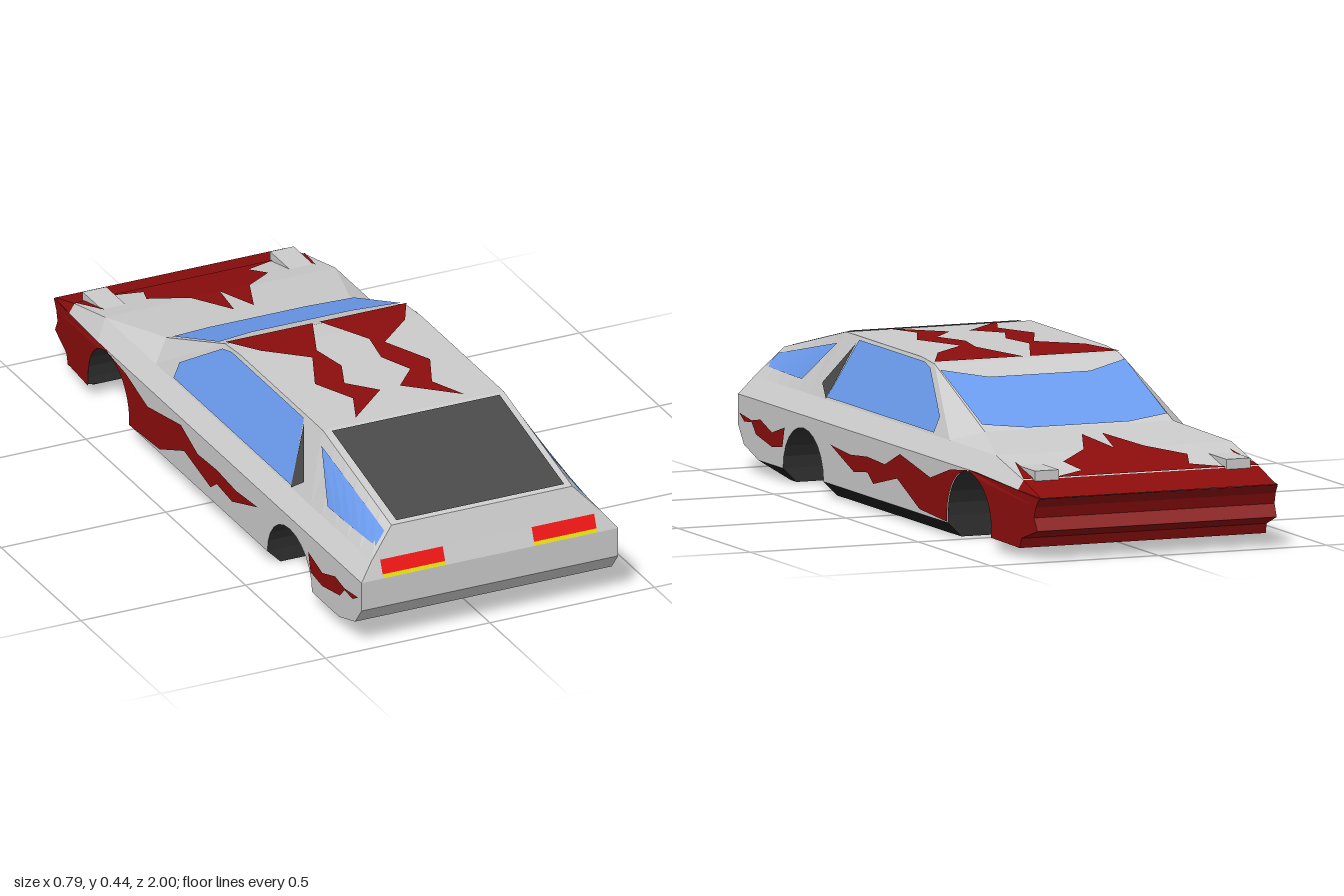
import * as THREE from 'three';

const GREY = 0xcccccc, RED = 0x8c0d0d, BLUE = 0x6c9cf0, DARK = 0x4a4a4a, BLACK = 0x1c1c1c, WELL = 0x303030;

export function createModel() {
  const car = new THREE.Group();
  car.name = 'car';
  const mats = {};
  const mat = c => (mats[c] ??= new THREE.MeshStandardMaterial({ color: c, side: THREE.DoubleSide, flatShading: true }));

  // Mesh from a list of triangles made of [x, y, z] corners
  function addTris(name, tris, color) {
    const g = new THREE.BufferGeometry();
    g.setAttribute('position', new THREE.Float32BufferAttribute(tris.flat(2), 3));
    g.computeVertexNormals();
    const m = new THREE.Mesh(g, mat(color));
    m.name = name;
    car.add(m);
  }
  const flip = t => [t[0], t[2], t[1]].map(([x, y, z]) => [-x, y, z]);
  const pair = (name, tris, color) => {
    addTris(name + 'Left', tris, color);
    addTris(name + 'Right', tris.map(flip), color);
  };
  const fan = p => p.slice(2).map((c, i) => [p[0], p[i + 1], c]);
  // Flat outline, cut into triangles and mapped to the body surface
  const sheet = (pts, map) => {
    const v = pts.map(p => new THREE.Vector2(...p));
    return THREE.ShapeUtils.triangulateShape(v, []).map(t => t.map(i => map(...pts[i])));
  };
  // Strip across the car through rows of [half width, y, z]
  const band = (name, rows, color) => {
    const tris = [];
    for (let i = 0; i + 1 < rows.length; i++) {
      const [a, y, z] = rows[i], [b, Y, Z] = rows[i + 1];
      tris.push(...fan([[a, y, z], [b, Y, Z], [-b, Y, Z], [-a, y, z]]));
    }
    addTris(name, tris, color);
  };
  // Ribbon between two equally long lists of points
  const ribbon = (a, b) => a.slice(1).flatMap((p, i) => fan([a[i], p, b[i + 1], b[i]]));
  const lerp = THREE.MathUtils.lerp;

  // Body half width, narrowing towards the nose
  const width = z => (z > -0.65 ? 0.39 : lerp(0.39, 0.355, (-0.65 - z) / 0.35));
  const onSide = (z, y) => [width(z), y, z];
  const onDecal = (z, y) => [width(z) + 0.003, y, z];

  // Wheel arch outline from rear foot to front foot
  function arch(zc, spring, top, from = 0, to = Math.PI) {
    const pts = [];
    for (let i = 0; i <= 12; i++) {
      const a = lerp(from, to, i / 12);
      pts.push([zc + 0.14 * Math.cos(a), spring + (top - spring) * Math.sin(a)]);
    }
    return pts;
  }
  const rearArch = [0.55, 0.04, 0.17], frontArch = [-0.59, 0.06, 0.2];

  // Lower sides
  pair('side', sheet([[0.86, 0.04], [0.96, 0.07], [1, 0.12], [1, 0.205], [-0.59, 0.205],
    ...arch(...frontArch, 0, Math.PI / 2).reverse(), [-0.45, 0.04], ...arch(...rearArch).reverse()], onSide), GREY);
  const nose = [[-1, 0.176], [-0.98, 0.15], [-0.97, 0.12], [-0.99, 0.085], [-0.9, 0.055], [-0.89, 0.027]];
  pair('noseSide', sheet([[-0.59, 0.205], [-0.65, 0.205], ...nose, [-0.73, 0.035],
    ...arch(...frontArch, Math.PI / 2, Math.PI).reverse()], onSide), RED);

  // Sills
  const onSill = (z, y) => [0.35 + y, y, z];
  pair('rearSill', sheet([[0.727, 0], [0.86, 0.04], [0.69, 0.04], [0.69, 0]], onSill), BLACK);
  pair('sill', sheet([[0.41, 0], [0.41, 0.04], [-0.45, 0.04], [-0.45, 0]], onSill), BLACK);

  // Wheel wells: arched roof, inner wall and feet
  for (const [name, spec, f0, f1] of [['rearWell', rearArch, 0, 0], ['frontWell', frontArch, 0, 0.035]]) {
    const pts = arch(...spec), zr = spec[0] + 0.14, zf = spec[0] - 0.14;
    const rim = [[zr, 0.04], ...pts, [zf, 0.04]];
    const tris = ribbon(rim.map(([z, y]) => [0.24, y, z]), rim.map(([z, y]) => onSide(z, y)));
    tris.push(...sheet([[zr, f0], ...pts, [zf, f1]], (z, y) => [0.24, y, z]));
    for (const [z, y] of [[zr, f0], [zf, f1]])
      tris.push(...fan([[0.24, y, z], [0.35, y, z], [width(z), 0.04, z], [0.24, 0.04, z]]));
    pair(name, tris, WELL);
  }

  // Floor, narrowed between the wells
  band('floor', [[0.24, 0, 0.727], [0.24, 0, -0.45], [0.24, 0.035, -0.73], [0.24, 0.027, -0.89]], BLACK);
  for (const [z0, y0, z1, y1, w] of [[0.727, 0, 0.69, 0, 0.35], [0.41, 0, -0.45, 0, 0.35], [-0.73, 0.035, -0.89, 0.027, 0.368]])
    pair('floorEdge', fan([[0.24, y0, z0], [w, y0, z0], [w, y1, z1], [0.24, y1, z1]]), BLACK);

  // Tail and nose faces
  band('tailSkirt', [[0.35, 0, 0.727], [0.39, 0.04, 0.86]], BLACK);
  band('tail', [[0.39, 0.04, 0.86], [0.39, 0.07, 0.96], [0.39, 0.12, 1], [0.39, 0.205, 1], [0.35, 0.255, 0.98], [0.275, 0.335, 0.95]], GREY);
  band('bumper', nose.map(([z, y]) => [width(z), y, z]), RED);

  // Roof, windscreen frame and bonnet
  band('roof', [[0.275, 0.335, 0.95], [0.275, 0.433, 0.52], [0.275, 0.433, 0], [0.275, 0.425, -0.09],
    [0.28, 0.285, -0.45], [0.35, 0.255, -0.69], [0.35, 0.212, -0.88]], GREY);
  band('noseTop', [[0.35, 0.212, -0.88], [0.35, 0.177, -1]], RED);
  const roofCorner = [0.275, 0.425, -0.09], cowl = [0.28, 0.285, -0.45], beltEnd = [0.35, 0.255, -0.37], wing = [0.35, 0.255, -0.69];
  pair('frontPillar', [[roofCorner, cowl, beltEnd], [cowl, wing, beltEnd]], GREY);

  // Shoulder bevel above the sides
  pair('shoulder', ribbon([[0.39, 0.205, 1], [0.39, 0.205, -0.65], [width(-0.88), 0.186, -0.88]],
    [[0.35, 0.255, 0.98], wing, [0.35, 0.212, -0.88]]), GREY);
  pair('noseShoulder', fan([[width(-0.88), 0.186, -0.88], [0.355, 0.176, -1], [0.35, 0.177, -1], [0.35, 0.212, -0.88]]), RED);

  // Cabin sides: flat door panel and twisted rear quarter
  const topY = z => (z < 0.52 ? 0.433 : lerp(0.433, 0.335, (z - 0.52) / 0.43));
  const onCabin = lift => (z, y) => [0.35 - 0.075 * (y - 0.255) / (topY(z) - 0.255) + lift, y, z];
  const strip = (a, b, c, d, map) => { // a-b lower edge, d-c upper edge, as [z, y]
    const row = (p, q) => Array.from({ length: 7 }, (_, i) => map(lerp(p[0], q[0], i / 6), lerp(p[1], q[1], i / 6)));
    return ribbon(row(a, b), row(d, c));
  };
  pair('doorFrame', fan([[0.35, 0.255, 0.52], [0.275, 0.433, 0.52], [0.275, 0.433, 0], roofCorner, beltEnd]), GREY);
  pair('rearQuarter', strip([0.98, 0.255], [0.52, 0.255], [0.52, 0.433], [0.95, 0.335], onCabin(0)), GREY);
  pair('doorWindow', sheet([[0.415, 0.425], [-0.035, 0.425], [-0.085, 0.415], [-0.26, 0.305], [-0.26, 0.262], [0.48, 0.262]], onCabin(0.003)), BLUE);
  pair('quarterWindow', strip([0.955, 0.285], [0.68, 0.285], [0.545, 0.4], [0.945, 0.32], onCabin(0.004)), BLUE);
  pair('pillarRecess', [[[0.34, 0.295, 0.535], [0.353, 0.257, 0.48], [0.286, 0.415, 0.425]]], DARK);

  // Windscreen and rear window
  const glass = [[0.275, -0.13], [0.15, -0.18], [-0.15, -0.18], [-0.275, -0.13], [-0.275, -0.42], [-0.15, -0.449], [0.15, -0.449], [0.275, -0.42]];
  addTris('windscreen', sheet(glass, (x, z) => [x, lerp(0.425, 0.285, (-0.09 - z) / 0.36) + 0.004, z]), BLUE);
  band('rearWindow', [[0.255, topY(0.94) + 0.004, 0.94], [0.255, topY(0.535) + 0.004, 0.535]], DARK);

  // Tail lights
  const onTail = (x, y) => [x, y, 1.003 - (y - 0.205) * 0.4];
  const lamp = (y0, y1) => sheet([[0.135, y0], [0.325, y0], [0.325, y1], [0.135, y1]], onTail);
  pair('tailLight', lamp(0.217, 0.255), 0xf00e0e);
  pair('indicator', lamp(0.207, 0.217), 0xe6e000);

  // Raised headlamps
  for (const s of [1, -1]) {
    const m = new THREE.Mesh(new THREE.BoxGeometry(0.072, 0.05, 0.15), mat(GREY));
    m.name = s > 0 ? 'headlampLeft' : 'headlampRight';
    m.position.set(s * 0.285, 0.212, -0.815);
    car.add(m);
  }

  // Jagged red paint on roof, bonnet and sides
  pair('roofFlash', sheet([[0.275, -0.09], [0.01, -0.09], [0.08, 0.08], [0.06, 0.195], [0.1, 0.295], [0.03, 0.375],
    [0.165, 0.5], [0.12, 0.39], [0.175, 0.265], [0.11, 0.115], [0.22, 0.015]],
    (x, z) => [x, 0.439 + Math.min(z, 0) * 0.09, z]), RED);
  const onHood = (x, z) => [x, (z > -0.69 ? lerp(0.285, 0.255, (-0.45 - z) / 0.24) : lerp(0.255, 0.212, (-0.69 - z) / 0.19)) + 0.003, z];
  for (const pts of [[[0, -0.88], [0.26, -0.88], [0.16, -0.84], [0.185, -0.77], [0.09, -0.69], [0, -0.69]],
    [[0.09, -0.69], [0.03, -0.54], [0, -0.69]], [[0.35, -0.88], [0.32, -0.75], [0.31, -0.88]]])
    pair('bonnetFlash', sheet(pts, onHood), RED);
  pair('rearSideFlash', sheet([[0.985, 0.155], [0.9, 0.145], [0.84, 0.155], [0.76, 0.13], [0.672, 0.155], [0.687, 0.1],
    [0.76, 0.09], [0.87, 0.11], [0.9, 0.14], [0.95, 0.135]], onDecal), RED);
  pair('sideFlash', sheet([[0.356, 0.15], [0.22, 0.14], [0.1, 0.15], [-0.02, 0.145], [-0.125, 0.187], [-0.335, 0.15], [-0.47, 0.19], [-0.59, 0.204],
    ...arch(...frontArch, 0, Math.PI / 2).reverse(), [-0.45, 0.043], [-0.26, 0.053], [-0.105, 0.117], [0.06, 0.08], [0.1, 0.107], [0.195, 0.096]], onDecal), RED);
  return car;
}
